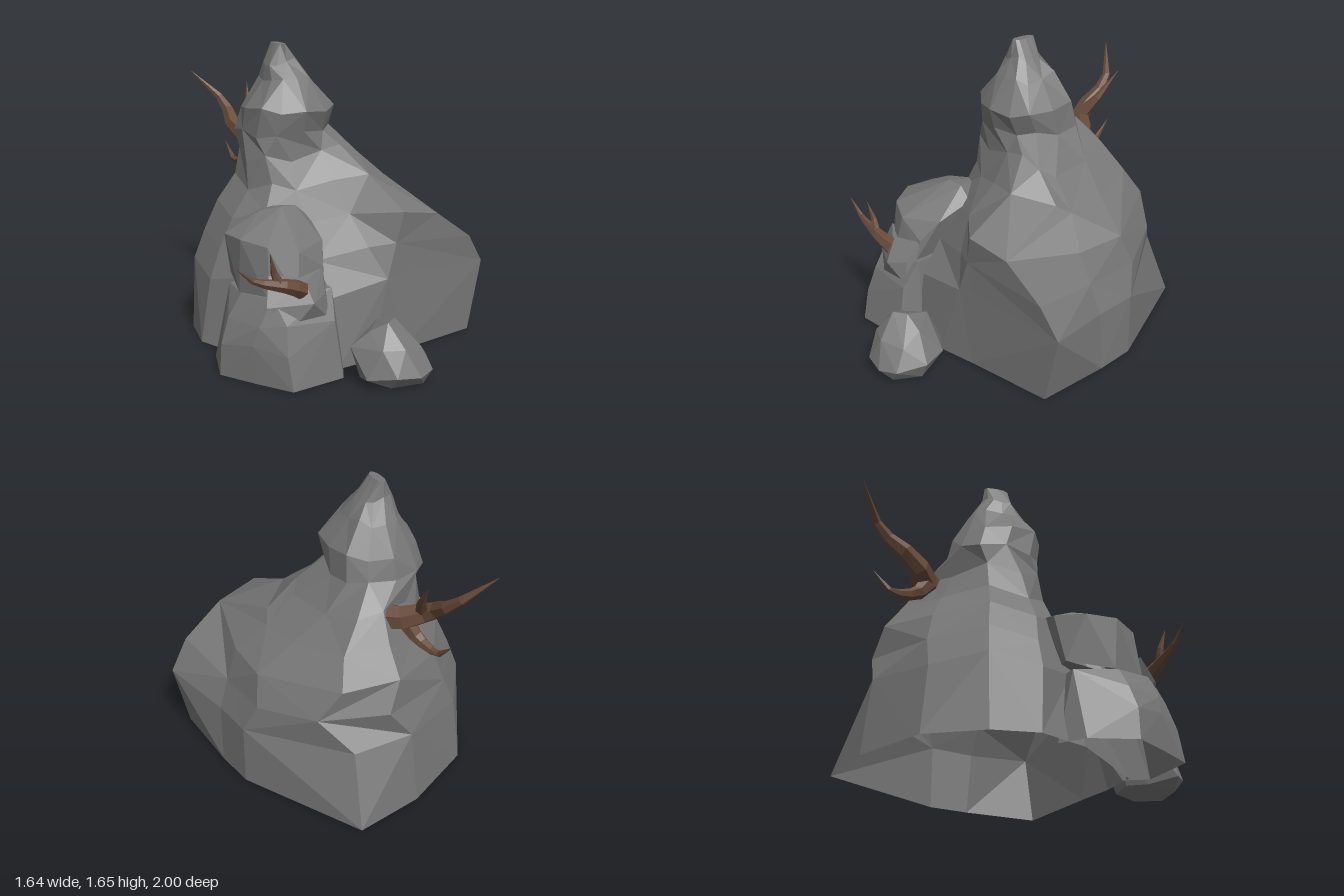
import * as THREE from 'three';
import { ConvexGeometry } from 'three/addons/geometries/ConvexGeometry.js';

const rock = new THREE.MeshStandardMaterial({ color: 0x777777, side: THREE.DoubleSide });
rock.name = 'rock grey';
const wood = new THREE.MeshStandardMaterial({ color: 0x664938 });
wood.name = 'branch brown';

function add(parent, name, geometry, material) {
  const mesh = new THREE.Mesh(geometry, material);
  mesh.name = name;
  parent.add(mesh);
}

function flat(geometry) {
  const g = geometry.index ? geometry.toNonIndexed() : geometry;
  g.computeVertexNormals();
  return g;
}

// Seeded noise in -1..1
let seed = 7;
function noise() {
  seed = (seed * 16807) % 2147483647;
  return (seed / 2147483647) * 2 - 1;
}

// Skin of stacked rings, closed at the top, open below
function loft(rings) {
  const n = rings[0].length, idx = [];
  for (let i = 0; i < rings.length - 1; i++) {
    for (let j = 0; j < n; j++) {
      const k = (j + 1) % n;
      const a = i * n + j, b = i * n + k, c = a + n, d = b + n;
      if ((i + j) % 2) idx.push(a, b, d, a, d, c);
      else idx.push(a, b, c, b, d, c);
    }
  }
  const last = (rings.length - 1) * n;
  for (let j = 1; j < n - 1; j++) idx.push(last, last + j, last + j + 1);
  const g = new THREE.BufferGeometry();
  g.setAttribute('position', new THREE.Float32BufferAttribute(rings.flat(2), 3));
  g.setIndex(idx);
  return flat(g);
}

const hull = points => new ConvexGeometry(points.map(p => new THREE.Vector3(...p)));

// Removes the faces on the ground and those buried in the main rock
function openHull(points) {
  const g = hull(points), p = g.attributes.position, n = g.attributes.normal, keep = [];
  for (let i = 0; i < p.count; i += 3) {
    const onGround = n.getY(i) < -0.99;
    const buried = (n.getX(i) - n.getZ(i)) * Math.SQRT1_2 > 0.9;
    if (onGround || buried) continue;
    for (let k = i; k < i + 3; k++) keep.push(p.getX(k), p.getY(k), p.getZ(k));
  }
  const out = new THREE.BufferGeometry();
  out.setAttribute('position', new THREE.Float32BufferAttribute(keep, 3));
  return flat(out);
}

// Tapering six-sided branch along a kinked path
function branch(points, radius) {
  const curve = new THREE.CatmullRomCurve3(points.map(p => new THREE.Vector3(...p)), false, 'catmullrom', 0.1);
  const seg = 7, sides = 6;
  const g = new THREE.TubeGeometry(curve, seg, radius, sides);
  const p = g.attributes.position, v = new THREE.Vector3();
  for (let i = 0; i < p.count; i++) {
    const t = Math.floor(i / (sides + 1)) / seg;
    const c = curve.getPointAt(t);
    v.fromBufferAttribute(p, i).sub(c).multiplyScalar(1.02 - t).add(c);
    p.setXYZ(i, v.x, v.y, v.z);
  }
  return flat(g);
}

// Main rock: each ring runs from the front right corner round the back; pairs are x, z
const lower = [
  [0, [.73, .41, .71, -.02, .68, -.25, .32, -.92, -.07, -.86, -.48, -.67, -.66, -.38, -.71, -.13, -.6, .15, -.22, .58, 0, .56, .22, .51]],
  [.4, [.82, .40, .70, 0, .68, -.25, .28, -.77, -.05, -.81, -.45, -.63, -.64, -.38, -.66, -.1, -.5, .12, -.22, .52, .12, .515, .2, .5]],
  [.57, [.71, .43, .64, .02, .62, -.31, .42, -.62, .08, -.79, -.38, -.62, -.58, -.36, -.6, -.1, -.45, .1, -.25, .38, .04, .44, .18, .5]],
];
const shoulder = [
  [.74, [.47, .46, .57, .04, .58, -.25, .3, -.67, 0, -.75, -.33, -.58, -.51, -.33, -.53, -.08, -.4, .08, -.23, .24, -.02, .34, .22, .51]],
  [.89, [.37, .04, .41, -.04, .38, -.28, .24, -.58, 0, -.64, -.25, -.51, -.41, -.3, -.43, -.08, -.34, .04, -.22, .1, -.02, .16, .18, .2]],
  [1.04, [.2, .02, .25, -.06, .2, -.32, .12, -.51, -.02, -.54, -.22, -.45, -.38, -.3, -.42, -.12, -.36, 0, -.22, .04, -.04, .05, .08, .04]],
];
const lift = [0, -.05, -.04, 0, .03, -.02, .02, -.03, .02, -.02, .03, .05];
// Peak rings: y, centre x, centre z, radius x, radius z
const peak = [
  [1.17, -.15, -.2, .26, .245],
  [1.3, -.15, -.165, .24, .25],
  [1.46, -.15, -.18, .135, .16],
  [1.55, -.18, -.175, .095, .085],
  [1.64, -.19, -.18, .025, .07],
];
const squared = v => Math.sign(v) * Math.abs(v) ** 0.8;

function mainRock() {
  const rings = [...lower, ...shoulder].map(([y, xz]) =>
    lift.map((d, j) => [xz[2 * j], y && y + d, xz[2 * j + 1]]));
  for (const [y, cx, cz, rx, rz] of peak) {
    rings.push(lift.map((d, j) => {
      const a = (j - 1) * Math.PI / 6, k = 1 + noise() * 0.06;
      const dy = y > 1.6 ? 0.01 : noise() * 0.025;
      return [cx + squared(Math.cos(a)) * rx * k, y + dy, cz - squared(Math.sin(a)) * rz * k];
    }));
  }
  return loft(rings);
}

export function createModel() {
  const model = new THREE.Group();
  model.name = 'rockFormation';
  add(model, 'mainRock', mainRock(), rock);

  // Stacked side rocks at the front
  add(model, 'sideRockBase', openHull([
    [-.80, 0, .35], [-.68, 0, .55], [-.56, 0, .73], [-.25, 0, .69], [-.18, 0, .56], [-.6, 0, 0], [-.72, 0, .1],
    [-.79, .17, .35], [-.69, .2, .53], [-.57, .17, .69], [-.74, .3, .33], [-.66, .3, .54], [-.55, .32, .64],
    [-.27, .3, .63], [-.66, .42, .32], [-.58, .44, .54], [-.24, .45, .54], [-.3, .45, .1], [-.62, .4, .08],
  ]), rock);
  add(model, 'sideRockTop', openHull([
    [-.66, .42, .3], [-.58, .4, .5], [-.45, .42, .57], [-.28, .44, .53], [-.6, .45, .05], [-.25, .5, .1],
    [-.67, .7, .14], [-.66, .71, .32], [-.57, .69, .46], [-.42, .66, .52], [-.27, .56, .5], [-.22, .67, .4],
    [-.37, .83, .22], [-.28, .82, .2], [-.47, .8, .15], [-.2, .75, .2], [-.55, .72, .01], [-.35, .78, 0],
  ]), rock);
  add(model, 'sideRockLedge', openHull([
    [-.62, .4, .55], [-.5, .39, .6], [-.4, .42, .65], [-.3, .44, .58], [-.42, .52, .59],
    [-.58, .55, .49], [-.27, .56, .49], [-.5, .3, .62], [-.28, .3, .6], [-.45, .4, .45],
  ]), rock);

  // Loose boulder in front
  add(model, 'frontBoulder', hull([
    [-.17, 0, .72], [-.1, 0, .92], [.08, 0, .94], [.15, 0, .8], [.06, 0, .64], [-.1, 0, .62],
    [-.22, .05, .88], [-.2, .16, .68], [-.24, .19, .74], [-.1, .07, .98], [.03, .06, 1], [.13, .07, .95],
    [.19, .09, .79], [.14, .1, .65], [0, .1, .57], [-.13, .1, .6], [-.15, .27, .78], [-.14, .2, .9],
    [-.03, .2, .94], [.1, .18, .88], [.08, .24, .76], [-.07, .32, .83], [0, .32, .78], [-.02, .27, .64],
  ]), rock);

  // Forked dead branch on the side rock
  const small = new THREE.Group();
  small.name = 'frontBranch';
  model.add(small);
  add(small, 'mainStem', branch([[-.44, .48, .58], [-.52, .52, .61], [-.71, .57, .61], [-.82, .665, .62]], .05), wood);
  add(small, 'sideTwig', branch([[-.57, .53, .61], [-.6, .6, .6], [-.63, .71, .62]], .03), wood);

  // Larger forked branch at the back
  const large = new THREE.Group();
  large.name = 'backBranch';
  model.add(large);
  add(large, 'mainStem', branch([[-.05, 1.0, -.48], [-.11, 1.01, -.56], [-.24, 1.07, -.66], [-.225, 1.22, -.86], [-.385, 1.405, -1]], .08), wood);
  add(large, 'upperTwig', branch([[-.2, 1.07, -.63], [-.14, 1.18, -.71], [-.09, 1.34, -.83]], .04), wood);
  add(large, 'lowerTwig', branch([[-.13, 1.02, -.55], [-.18, .9, -.63], [-.21, .87, -.77], [-.22, .975, -.88]], .055), wood);
  return model;
}
